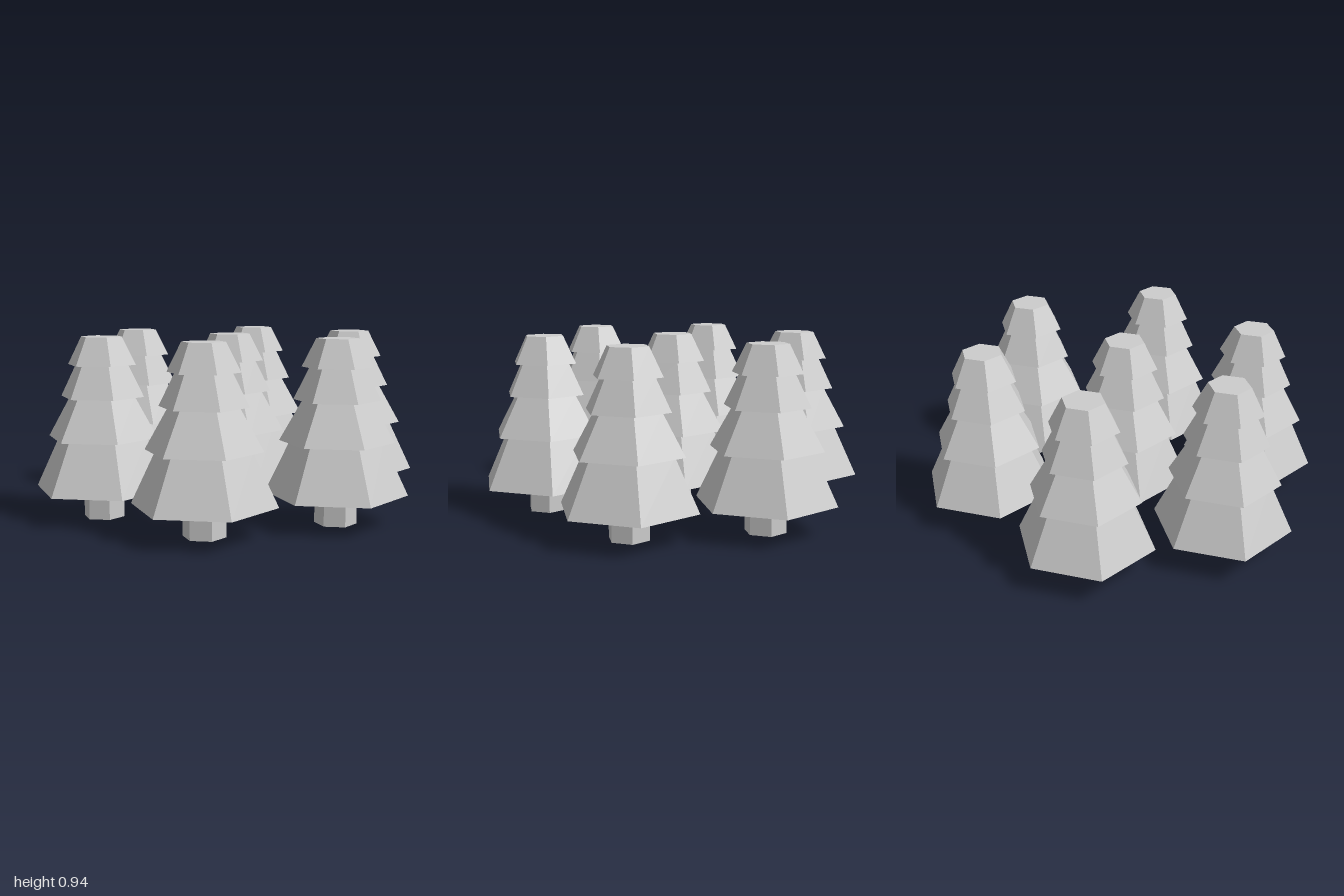
import * as THREE from 'three';

const material = new THREE.MeshStandardMaterial({ color: 0xcccccc, flatShading: true });
material.name = 'light grey';

// Six-sided tapered section standing between two heights
function section(name, bottomRadius, topRadius, y0, y1) {
  const geometry = new THREE.CylinderGeometry(topRadius, bottomRadius, y1 - y0, 6);
  geometry.translate(0, (y0 + y1) / 2, 0);
  const mesh = new THREE.Mesh(geometry, material);
  mesh.name = name;
  return mesh;
}

// Foliage tiers: bottom radius, top radius, bottom height, top height
const tiers = [
  [0.36, 0.234, 0.152, 0.418],
  [0.289, 0.171, 0.418, 0.628],
  [0.219, 0.138, 0.628, 0.792],
  [0.179, 0.107, 0.792, 0.935],
];

function createTree() {
  const tree = new THREE.Group();
  tree.name = 'tree';
  tree.add(section('trunk', 0.107, 0.107, 0, 0.152));
  tiers.forEach((t, i) => tree.add(section(`foliageTier${i + 1}`, ...t)));
  return tree;
}

export function createModel() {
  const model = new THREE.Group();
  model.name = 'treeCluster';
  // Three rows: two behind, three across the middle, two in front
  const rows = [
    [-0.64, [-0.341, 0.341]],
    [0.018, [-0.685, 0, 0.685]],
    [0.64, [-0.341, 0.341]],
  ];
  for (const [z, xs] of rows) {
    for (const x of xs) {
      const tree = createTree();
      tree.position.set(x, 0, z);
      model.add(tree);
    }
  }
  return model;
}
